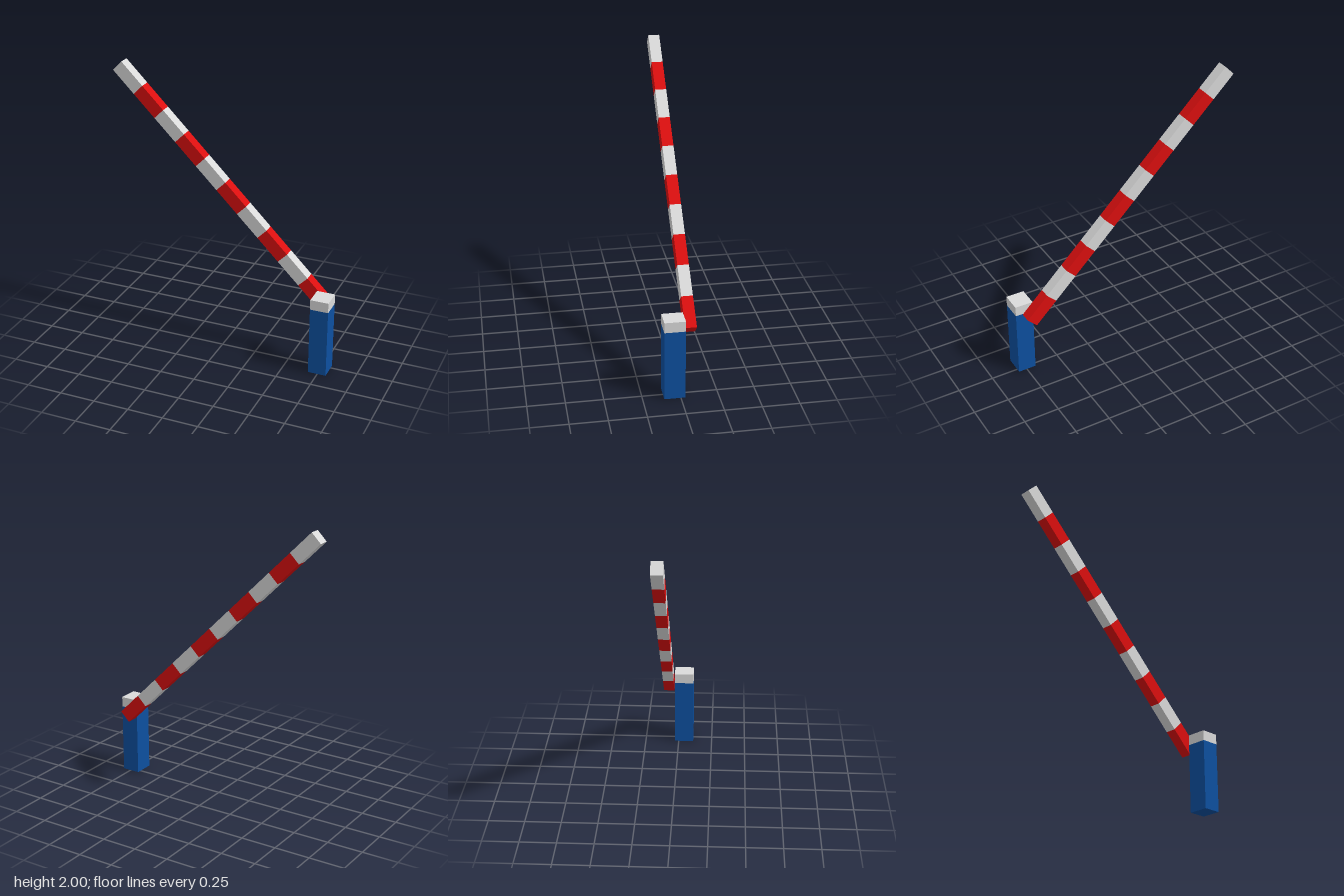
import * as THREE from 'three';

const mat = (name, color) => {
  const m = new THREE.MeshStandardMaterial({ color });
  m.name = name;
  return m;
};

export function createModel() {
  const white = mat('white', 0xdadada);
  const red = mat('red', 0xdc0f0f);
  const blue = mat('blue', 0x0d50a0);
  const model = new THREE.Group();
  model.name = 'barrierGate';

  const box = (parent, name, size, pos, material) => {
    const mesh = new THREE.Mesh(new THREE.BoxGeometry(...size), material);
    mesh.position.set(...pos);
    mesh.name = name;
    parent.add(mesh);
  };

  // Post with a pale cap
  box(model, 'post', [0.128, 0.49, 0.14], [0.746, 0.245, 0.04], blue);
  box(model, 'postCap', [0.128, 0.072, 0.14], [0.746, 0.526, 0.04], white);

  // Raised arm: ten equal bands, red at the pivot end
  const length = 2.137, bands = 10, step = length / bands;
  const arm = new THREE.Group();
  arm.name = 'arm';
  arm.position.set(0.728, 0.455, -0.072);
  arm.rotation.z = Math.PI * 0.75;
  for (let i = 0; i < bands; i++) {
    box(arm, `armBand${i + 1}`, [step, 0.093, 0.077], [(i + 0.5) * step, 0, 0], i % 2 ? white : red);
  }
  model.add(arm);
  return model;
}
